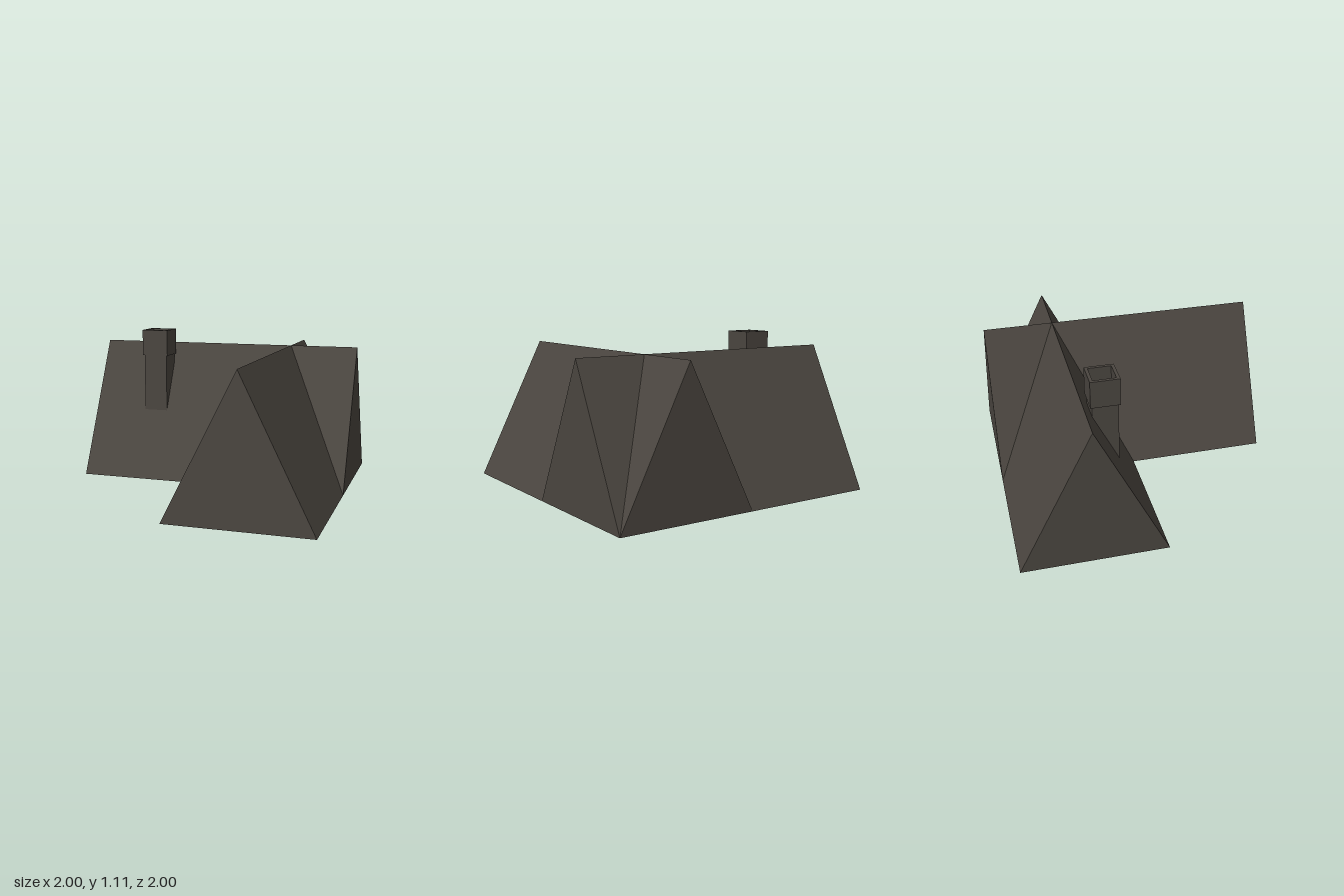
import * as THREE from 'three';

const umber = new THREE.MeshStandardMaterial({ color: 0x4b4640 });
umber.name = 'darkUmber';

// Flat mesh from convex polygons, each wound to face its outward direction
function facets(name, faces) {
  const pos = [];
  for (const [out, ...corners] of faces) {
    const p = corners.map((c) => new THREE.Vector3(...c));
    const n = p[1].clone().sub(p[0]).cross(p[2].clone().sub(p[0]));
    if (n.dot(new THREE.Vector3(...out)) < 0) p.reverse();
    for (let i = 1; i < p.length - 1; i++) {
      for (const v of [p[0], p[i], p[i + 1]]) pos.push(v.x, v.y, v.z);
    }
  }
  const g = new THREE.BufferGeometry();
  g.setAttribute('position', new THREE.Float32BufferAttribute(pos, 3));
  g.computeVertexNormals();
  const m = new THREE.Mesh(g, umber);
  m.name = name;
  return m;
}

export function createModel() {
  const house = new THREE.Group();
  house.name = 'house';
  const up = [0, 1, 0];
  const peak = [0.5, 1, -0.5]; // where the two ridges cross

  // Roof of the wing running left to right, cut along the valleys
  house.add(facets('sideWingRoof', [
    [up, [-1, 0, -1], [0, 0, -1], peak, [-1, 1, -0.5]],
    [up, [-1, 0, 0], [0, 0, 0], peak, [-1, 1, -0.5]],
    [up, [1, 0, -1], [1, 1, -0.5], peak],
    [up, [1, 0, 0], [1, 1, -0.5], peak],
  ]));

  // Roof of the wing running front to back
  house.add(facets('frontWingRoof', [
    [up, [0, 0, 1], [0, 0, 0], peak, [0.5, 1, 1]],
    [up, [1, 0, 1], [1, 0, 0], peak, [0.5, 1, 1]],
    [up, [0, 0, -1], [0.5, 1, -1], peak],
    [up, [1, 0, -1], [0.5, 1, -1], peak],
  ]));

  // Four triangular gable ends
  house.add(facets('gables', [
    [[0, 0, 1], [0, 0, 1], [1, 0, 1], [0.5, 1, 1]],
    [[0, 0, -1], [0, 0, -1], [1, 0, -1], [0.5, 1, -1]],
    [[1, 0, 0], [1, 0, -1], [1, 0, 0], [1, 1, -0.5]],
    [[-1, 0, 0], [-1, 0, -1], [-1, 0, 0], [-1, 1, -0.5]],
  ]));

  // L-shaped underside
  house.add(facets('floor', [
    [[0, -1, 0], [-1, 0, -1], [1, 0, -1], [1, 0, 0], [-1, 0, 0]],
    [[0, -1, 0], [0, 0, 0], [1, 0, 0], [1, 0, 1], [0, 0, 1]],
  ]));

  // Chimney: square stack with a hollow, wider cap
  const chimney = new THREE.Group();
  chimney.name = 'chimney';
  chimney.position.set(-0.505, 0, -0.335);
  const stack = new THREE.Mesh(new THREE.BoxGeometry(0.178, 0.44, 0.178), umber);
  stack.name = 'chimneyStack';
  stack.position.y = 0.71;

  const square = (path, r) => path.setFromPoints(
    [[-r, -r], [r, -r], [r, r], [-r, r]].map(([x, y]) => new THREE.Vector2(x, y)));
  const ring = square(new THREE.Shape(), 0.1);
  ring.holes.push(square(new THREE.Path(), 0.078));
  const capGeometry = new THREE.ExtrudeGeometry(ring, { depth: 0.193, bevelEnabled: false });
  capGeometry.rotateX(-Math.PI / 2);
  const cap = new THREE.Mesh(capGeometry, umber);
  cap.name = 'chimneyCap';
  cap.position.y = 0.917;
  chimney.add(stack, cap);
  house.add(chimney);

  return house;
}
